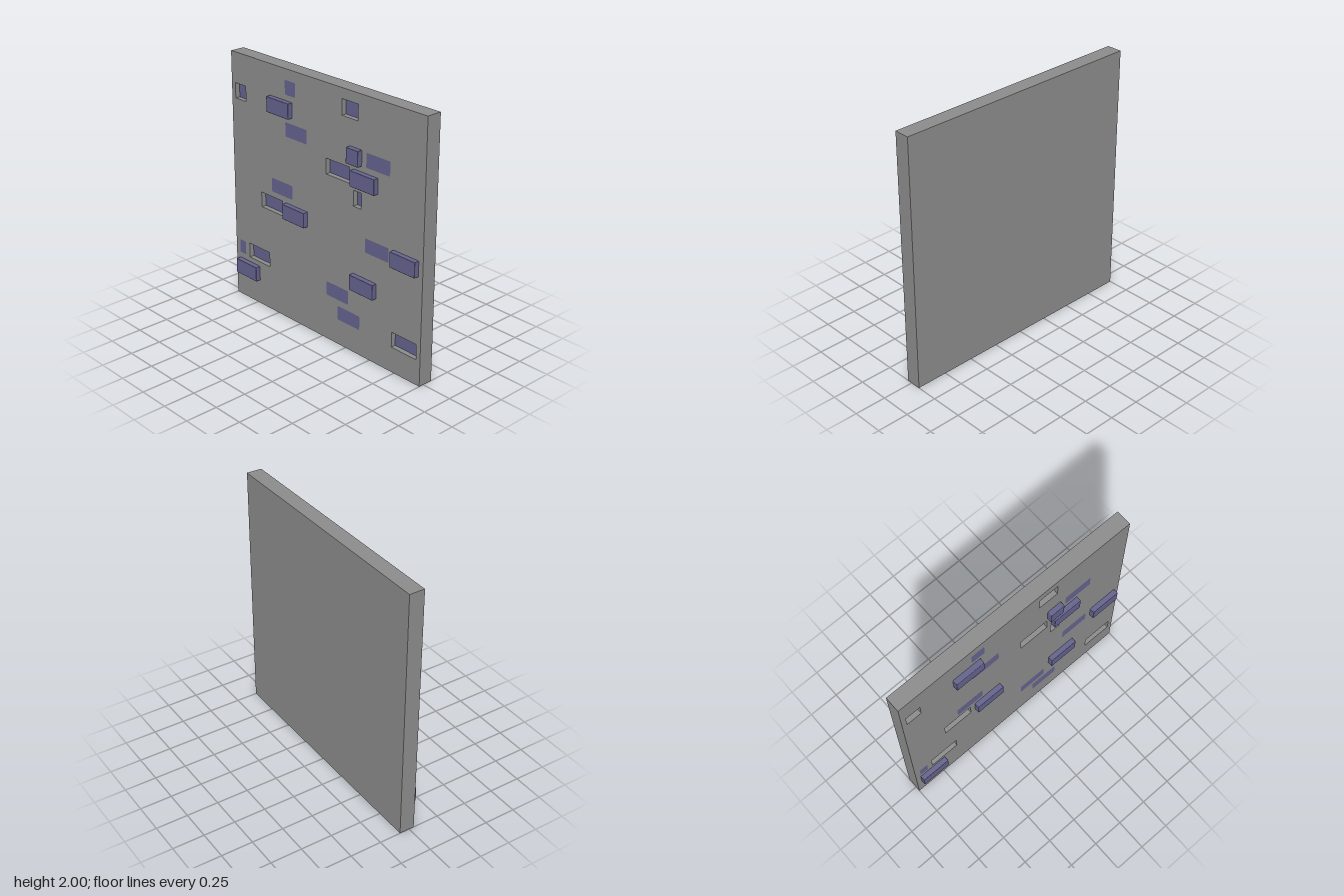
import * as THREE from 'three';
import { RoundedBoxGeometry } from 'three/addons/geometries/RoundedBoxGeometry.js';

const FRONT = 0.04, BACK = -0.08, STEP = 0.04, BRICK_H = 0.12;

// Bricks as [left x, bottom y, width]
const raised = [
  [-0.56, 1.64, 0.24], [0.28, 1.48, 0.12], [0.32, 1.32, 0.24], [-0.4, 0.84, 0.24],
  [0.72, 0.84, 0.24], [0.32, 0.52, 0.24], [-0.96, 0.2, 0.24],
];
const recessed = [
  [-0.96, 1.64, 0.12], [0.2, 1.8, 0.16], [0.04, 1.32, 0.24], [0.32, 1.16, 0.08],
  [-0.68, 0.84, 0.24], [-0.84, 0.36, 0.24], [0.72, 0.2, 0.24],
];
const flush = [
  [-0.4, 1.8, 0.12], [-0.4, 1.48, 0.24], [0.44, 1.48, 0.24], [-0.56, 1.0, 0.24],
  [0.44, 0.84, 0.24], [-0.96, 0.36, 0.08], [0.04, 0.36, 0.24], [0.16, 0.2, 0.24],
];

function rect(target, x, y, w, h) {
  target.moveTo(x, y);
  target.lineTo(x + w, y);
  target.lineTo(x + w, y + h);
  target.lineTo(x, y + h);
  target.closePath();
  return target;
}

// Rounded outline of a flush brick face
function roundedRect(w, h, r) {
  const s = new THREE.Shape(), x = w / 2, y = h / 2;
  s.absarc(x - r, y - r, r, 0, Math.PI / 2);
  s.absarc(-x + r, y - r, r, Math.PI / 2, Math.PI);
  s.absarc(-x + r, -y + r, r, Math.PI, Math.PI * 1.5);
  s.absarc(x - r, -y + r, r, Math.PI * 1.5, Math.PI * 2);
  s.closePath();
  return s;
}

export function createModel() {
  const model = new THREE.Group();
  model.name = 'brickWallPanel';
  const wallMat = new THREE.MeshStandardMaterial({ color: 0x8b8b8b });
  wallMat.name = 'stoneGrey';
  const brickMat = new THREE.MeshStandardMaterial({ color: 0x64628c });
  brickMat.name = 'brickPurple';

  const add = (name, geometry, material, x, y, z) => {
    const mesh = new THREE.Mesh(geometry, material);
    mesh.name = name;
    mesh.position.set(x, y, z);
    model.add(mesh);
  };

  // Solid back layer of the wall
  const backDepth = FRONT - STEP - BACK;
  add('wallBack', new THREE.BoxGeometry(2, 2, backDepth), wallMat, 0, 1, BACK + backDepth / 2);

  // Front layer, pierced by the niches
  const face = rect(new THREE.Shape(), -1, 0, 2, 2);
  for (const [x, y, w] of recessed) face.holes.push(rect(new THREE.Path(), x, y, w, BRICK_H));
  add('wallFront', new THREE.ExtrudeGeometry(face, { depth: STEP, bevelEnabled: false }),
    wallMat, 0, 0, FRONT - STEP);

  // Bricks standing proud of the wall, with softened edges
  for (const [x, y, w] of raised) {
    add('raisedBrick', new RoundedBoxGeometry(w, BRICK_H, STEP * 2, 2, 0.005), brickMat,
      x + w / 2, y + BRICK_H / 2, FRONT);
  }

  // Bricks level with the wall
  for (const [x, y, w] of flush) {
    add('flushBrick', new THREE.ShapeGeometry(roundedRect(w - 0.01, BRICK_H - 0.01, 0.008), 4),
      brickMat, x + w / 2, y + BRICK_H / 2, FRONT + 0.001);
  }

  // Bricks at the bottom of the niches
  for (const [x, y, w] of recessed) {
    add('recessedBrick', new THREE.PlaneGeometry(w, BRICK_H), brickMat,
      x + w / 2, y + BRICK_H / 2, FRONT - STEP + 0.001);
  }
  return model;
}
